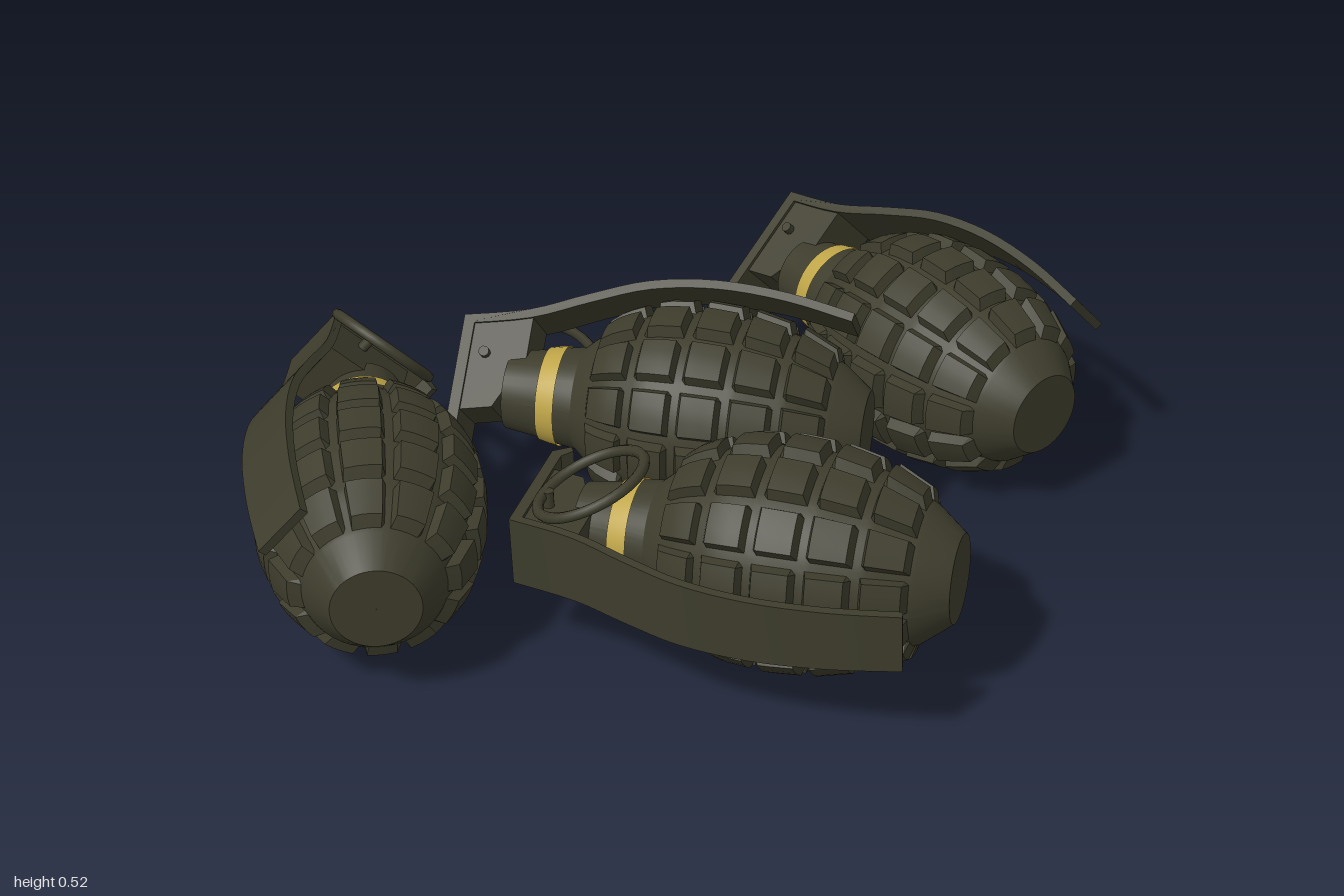
import * as THREE from 'three';
import { toCreasedNormals } from 'three/addons/utils/BufferGeometryUtils.js';

const olive = new THREE.MeshStandardMaterial({ color: 0x3d3c2c });
olive.name = 'dark olive';
const yellow = new THREE.MeshStandardMaterial({ color: 0xbfa548, side: THREE.DoubleSide });
yellow.name = 'band yellow';

// Core profile: [height along axis, radius]
const CORE = [[0, 0.095], [0.065, 0.146], [0.16, 0.193], [0.27, 0.219], [0.37, 0.226], [0.47, 0.217],
  [0.56, 0.182], [0.61, 0.145], [0.645, 0.115], [0.7, 0.107], [0.74, 0.098], [0.81, 0.088]];
const ROWS = 5, COLS = 12, BLOCK_LOW = 0.065, BLOCK_HIGH = 0.61, BLOCK_RISE = 0.025;

function coreRadius(t) {
  const i = Math.max(1, CORE.findIndex(p => p[0] >= t - 1e-6));
  const [t0, r0] = CORE[i - 1], [t1, r1] = CORE[i];
  return r0 + (r1 - r0) * (t - t0) / (t1 - t0);
}

// Ribbed shell: a grid around the axis whose cell tops are raised into blocks
function bodyGeometry() {
  const cell = [[0, 0], [0.08, 0], [0.16, 1], [0.39, 1], [0.61, 1], [0.84, 1], [0.92, 0]];
  const rows = [{ t: 0, r: 0.0005, up: 0 }, { t: 0, r: 0.095, up: 0 }];
  const addRow = (t, up) => rows.push({ t, r: coreRadius(t), up });
  for (let k = 0; k < ROWS; k++) {
    for (const [f, up] of cell) addRow(BLOCK_LOW + (BLOCK_HIGH - BLOCK_LOW) * (k + f) / ROWS, up);
  }
  for (const t of [0.61, 0.645, 0.7, 0.74, 0.81]) addRow(t, 0);

  const around = [];
  for (let k = 0; k < COLS; k++) {
    for (const [f, up] of cell) around.push({ a: (k + f) / COLS * Math.PI * 2, up });
  }
  const pos = [], index = [], n = around.length;
  rows.forEach((row, i) => around.forEach((col, j) => {
    const r = row.r + BLOCK_RISE * row.up * col.up;
    pos.push(r * Math.cos(col.a), row.t, r * Math.sin(col.a));
    if (i === rows.length - 1) return;
    const a = i * n + j, b = i * n + (j + 1) % n;
    index.push(a, a + n, b, b, a + n, b + n);
  }));
  const geo = new THREE.BufferGeometry();
  geo.setAttribute('position', new THREE.Float32BufferAttribute(pos, 3));
  geo.setIndex(index);
  return toCreasedNormals(geo, 0.45);
}

// Side outline extruded to a width and centred
function slab(points, width) {
  const shape = new THREE.Shape(points.map(p => new THREE.Vector2(p[0], p[1])));
  const geo = new THREE.ExtrudeGeometry(shape, { depth: width, bevelEnabled: false });
  return geo.translate(0, 0, -width / 2);
}

// Curved safety lever, narrowing slightly to its free end
function leverGeometry() {
  const curve = new THREE.SplineCurve([[0.14, 0.925], [0.17, 0.78], [0.222, 0.65], [0.268, 0.52],
    [0.287, 0.37], [0.278, 0.21], [0.25, 0.058]].map(p => new THREE.Vector2(...p)));
  const outer = [], inner = [];
  for (let i = 0; i <= 24; i++) {
    const p = curve.getPoint(i / 24), d = curve.getTangent(i / 24);
    outer.push([p.x, p.y]);
    inner.unshift([p.x + d.y * 0.02, p.y - d.x * 0.02]);
  }
  const geo = slab([...outer, ...inner], 0.16);
  const pos = geo.attributes.position;
  for (let i = 0; i < pos.count; i++) {
    pos.setZ(i, pos.getZ(i) * (0.82 + 0.18 * Math.min(1, pos.getY(i) / 0.8)));
  }
  return toCreasedNormals(geo, 0.5);
}

const parts = {
  body: bodyGeometry(),
  lever: leverGeometry(),
  head: slab([[-0.075, 0.905], [-0.06, 0.83], [0.06, 0.77], [0.155, 0.77], [0.13, 0.91]], 0.145),
  topPlate: slab([[0.14, 0.925], [-0.13, 0.925], [-0.155, 0.89], [-0.14, 0.88], [-0.115, 0.9], [0.13, 0.9]], 0.16),
  band: new THREE.LatheGeometry([[0.113, 0.685], [0.11, 0.705], [0.105, 0.728]]
    .map(p => new THREE.Vector2(...p)), 40),
  ring: new THREE.TorusGeometry(0.122, 0.012, 8, 40),
  pin: new THREE.CylinderGeometry(0.012, 0.012, 0.2, 10)
};

function makeGrenade(name) {
  const g = new THREE.Group();
  g.name = name;
  const add = (part, mat) => {
    const m = new THREE.Mesh(parts[part], mat);
    m.name = part;
    g.add(m);
    return m;
  };
  add('body', olive);
  add('lever', olive);
  add('head', olive);
  add('topPlate', olive);
  add('band', yellow);
  // Pull ring leans over the shoulder, hung from the pin
  const ring = add('ring', olive);
  ring.position.set(0.07, 0.765, -0.15);
  ring.rotation.x = 0.42;
  const pin = add('pin', olive);
  pin.position.set(0.06, 0.865, -0.01);
  pin.rotation.x = Math.PI / 2;
  return g;
}

// Lay a grenade down: base centre, axis direction, lever side (+1/-1) and lever lift angle
function place(name, base, axis, side, lift) {
  const g = makeGrenade(name);
  const u = new THREE.Vector3(...axis).normalize();
  const flat = new THREE.Vector3(-u.z * side, 0, u.x * side).normalize();
  const up = new THREE.Vector3().crossVectors(u, flat);
  if (up.y < 0) up.negate();
  const l = flat.multiplyScalar(Math.cos(lift)).addScaledVector(up, Math.sin(lift));
  const w = new THREE.Vector3().crossVectors(l, u);
  g.quaternion.setFromRotationMatrix(new THREE.Matrix4().makeBasis(l, u, w));
  g.position.set(...base);
  return g;
}

export function createModel() {
  const model = new THREE.Group();
  model.name = 'grenades';
  model.add(
    place('rightGrenade', [-0.8, 0.255, 0.235], [0.28, 0, -0.96], -1, 0.75),
    place('backGrenade', [0.39, 0.27, 0.06], [-0.81, 0, -0.59], 1, 0.78),
    place('frontGrenade', [0.315, 0.29, 0.65], [-0.76, -0.035, -0.65], -1, 0),
    place('leftGrenade', [0.8, 0.252, 0.12], [-0.277, 0, -0.96], 1, 0.75)
  );
  return model;
}
